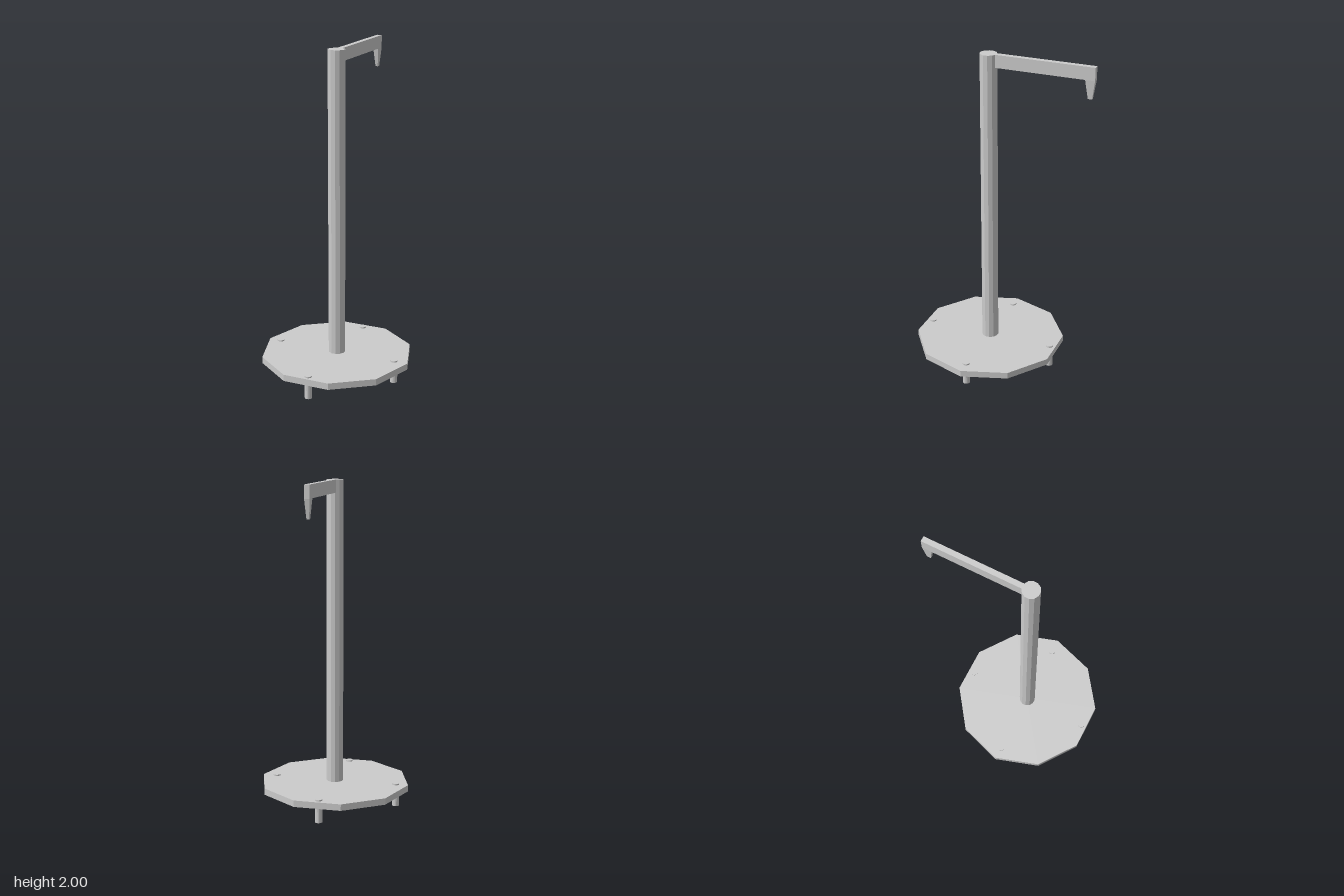
import * as THREE from 'three';

const material = new THREE.MeshStandardMaterial({ color: 0xcccccc, flatShading: true });
const AXIS_Z = 0.098; // the post stands forward of the model's centre

function addMesh(parent, name, geometry, x, y, z) {
  const mesh = new THREE.Mesh(geometry, material);
  mesh.name = name;
  mesh.position.set(x, y, z);
  parent.add(mesh);
  return mesh;
}

// Upright prism between two heights
function addPrism(parent, name, radius, sides, y0, y1, x, z, turn) {
  const geometry = new THREE.CylinderGeometry(radius, radius, y1 - y0, sides);
  geometry.rotateY(turn);
  return addMesh(parent, name, geometry, x, (y0 + y1) / 2, z);
}

export function createModel() {
  const model = new THREE.Group();
  model.name = 'hookStand';

  // Ten-sided base plate with corners on the x axis
  addPrism(model, 'basePlate', 0.465, 10, 0.095, 0.135, 0, AXIS_Z, Math.PI / 2);

  // Four bolts passing through the plate and serving as feet
  const bolts = new THREE.Group();
  bolts.name = 'bolts';
  model.add(bolts);
  for (const [x, z] of [[0.378, 0], [-0.388, 0], [0, 0.406], [0, -0.404]]) {
    addPrism(bolts, 'bolt', 0.022, 16, 0, 0.143, x, AXIS_Z + z, 0);
  }

  // Twelve-sided post with flats facing the axes
  addPrism(model, 'post', 0.0515, 12, 0.12, 2, 0, AXIS_Z, Math.PI / 12);

  // Arm reaching back from the top of the post
  const armFront = 0.052, armBack = -0.544, armBottom = 1.923;
  addMesh(model, 'arm', new THREE.BoxGeometry(0.032, 2 - armBottom, armFront - armBack),
    0, (2 + armBottom) / 2, (armFront + armBack) / 2);

  // Tapered prong hanging from the end of the arm
  const prongHeight = armBottom - 1.811;
  const prong = new THREE.BoxGeometry(0.032, prongHeight, 0.058);
  const p = prong.attributes.position;
  for (let i = 0; i < p.count; i++) {
    if (p.getY(i) < 0) {
      p.setX(i, p.getX(i) * 0.45);
      p.setZ(i, p.getZ(i) * 0.43);
    }
  }
  prong.computeVertexNormals();
  addMesh(model, 'prong', prong, 0, armBottom - prongHeight / 2, armBack + 0.029);

  return model;
}
